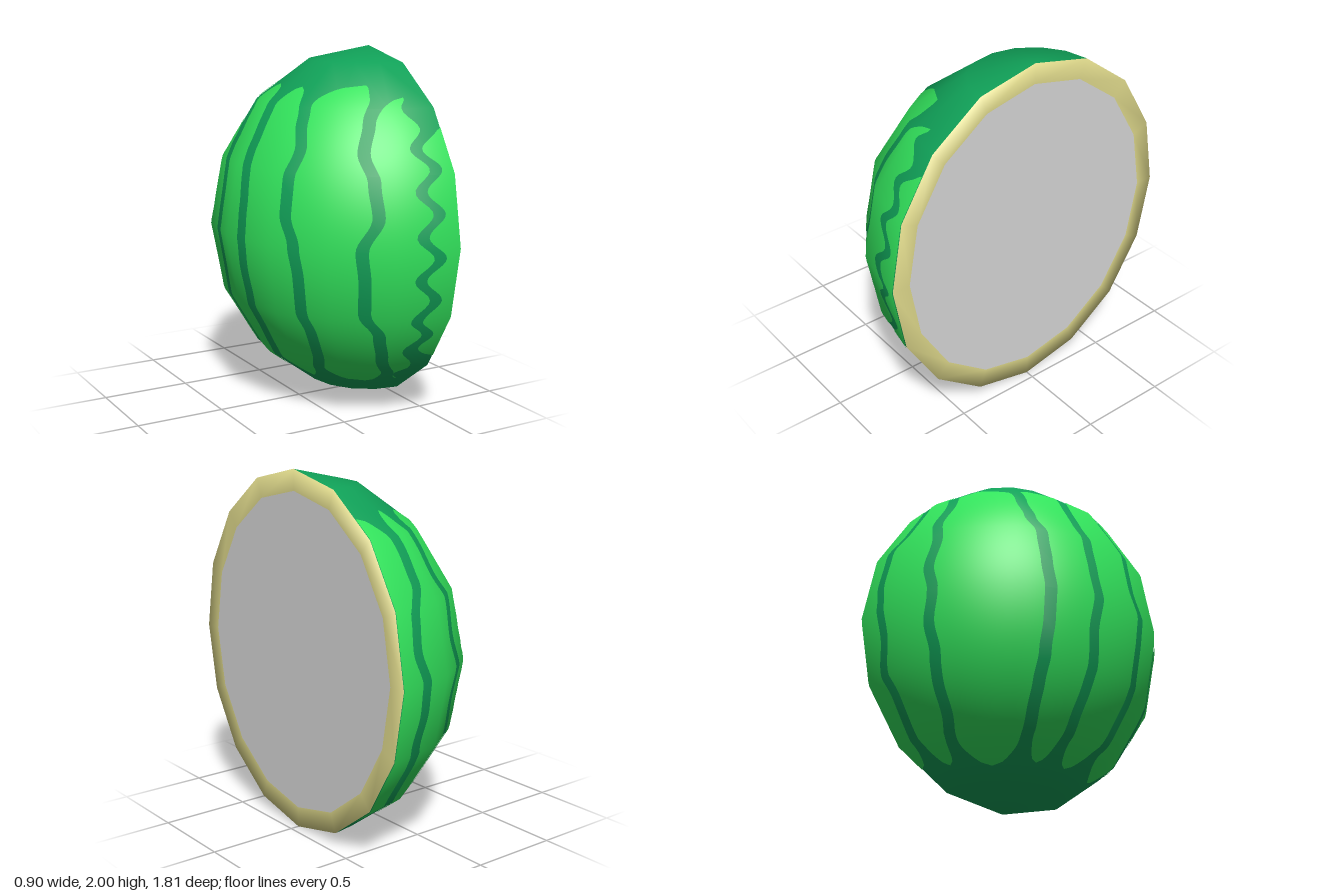
import * as THREE from 'three';

const RX = 0.9, CUT_X = 0.45, SEG = Math.PI / 8;
const rad = THREE.MathUtils.degToRad;

const mat = (name, color) => {
  const m = new THREE.MeshStandardMaterial({ color });
  m.name = name;
  return m;
};

// Direction on the unit sphere: phi runs round the rind from +z to -z, theta down from the top
const dir = (phi, theta) => new THREE.Vector3(
  -Math.sin(phi) * Math.sin(theta), Math.cos(theta), Math.cos(phi) * Math.sin(theta));

// Point on the faceted rind: blend of the four corners of its facet
function rindPoint(phi, theta) {
  const i = Math.min(Math.floor(phi / SEG), 7), j = Math.min(Math.floor(theta / SEG), 7);
  const s = phi / SEG - i, t = theta / SEG - j;
  const row = k => dir(i * SEG, k * SEG).lerp(dir((i + 1) * SEG, k * SEG), s);
  return row(j).lerp(row(j + 1), t).multiply(new THREE.Vector3(RX, 1, RX));
}

// Stripe centre lines: angle round the rind, every 10 degrees from theta 30 to 150
const keyed = keys => theta => {
  const f = THREE.MathUtils.clamp((theta - 30) / 10, 0, keys.length - 1.001);
  const i = Math.floor(f), t = f - i;
  return THREE.MathUtils.lerp(keys[i], keys[i + 1], t * t * (3 - 2 * t));
};
const stripes = [
  () => -10,
  th => 10 + 3.2 * Math.cos((th - 72.5) / 13.6 * Math.PI * 2),
  keyed([26, 28, 32, 34, 30, 28.5, 34, 33, 33, 27, 25, 20, 18]),
  keyed([66, 65, 63, 60, 62, 62, 58, 57, 57, 55, 55, 58, 60]),
  keyed([87, 88, 87, 86, 84, 83, 82, 83, 82, 82, 83, 84, 84]),
  keyed([116, 114, 110, 107, 103, 102, 101, 101, 102, 103, 104, 105, 106]),
  keyed([147, 147, 145, 147, 144, 146, 143, 145, 143, 144, 143, 145, 143]),
  keyed([165, 165, 163, 164, 170, 171, 168, 167, 169, 167, 167, 166, 165]),
  () => 190,
];

// Light patches between neighbouring stripes: top, bottom, position of top and bottom tips
const patches = [
  [52, 130, 0, 0], [40, 146, 0.2, 0.1], [34, 147, 0.1, 0.3], [36, 148, 0.5, 0.5],
  [36, 148, 0.6, 0.5], [36, 150, 0.7, 0.5], [34, 148, 0.5, 0.5], [36, 146, 1, 1],
];

function patchGeometry(left, right, [top, bottom, topTip, bottomTip]) {
  const rows = 80, cols = 24, pos = [], nor = [], idx = [];
  for (let i = 0; i <= rows; i++) {
    const t = i / rows, th = THREE.MathUtils.lerp(top, bottom, t);
    const half = 2.2 / Math.sin(rad(th));
    let a = Math.max(0, left(th) + half), b = Math.min(180, right(th) - half);
    // Rounded ends
    const end = Math.min(1, Math.min(t, 1 - t) / 0.1);
    const width = Math.sqrt(1 - (1 - end) ** 2);
    const tip = THREE.MathUtils.lerp(a, b, t < 0.5 ? topTip : bottomTip);
    a = THREE.MathUtils.lerp(tip, a, width);
    b = THREE.MathUtils.lerp(tip, b, width);
    for (let j = 0; j <= cols; j++) {
      const phi = rad(THREE.MathUtils.lerp(a, b, j / cols));
      const n = dir(phi, rad(th)).divide(new THREE.Vector3(RX, 1, RX)).normalize();
      const p = rindPoint(phi, rad(th)).addScaledVector(n, 0.004);
      pos.push(p.x + CUT_X, p.y + 1, p.z);
      nor.push(n.x, n.y, n.z);
      if (i < rows && j < cols) {
        const k = i * (cols + 1) + j, d = k + cols + 1;
        idx.push(k, k + 1, d, k + 1, d + 1, d);
      }
    }
  }
  const g = new THREE.BufferGeometry();
  g.setAttribute('position', new THREE.Float32BufferAttribute(pos, 3));
  g.setAttribute('normal', new THREE.Float32BufferAttribute(nor, 3));
  g.setIndex(idx);
  return g;
}

export function createModel() {
  const group = new THREE.Group();
  group.name = 'halfWatermelon';
  const darkGreen = mat('darkGreen', 0x10a158);
  const lightGreen = mat('lightGreen', 0x32e35c);
  const paleYellow = mat('paleYellow', 0xe0da8c);
  const paleGrey = mat('paleGrey', 0xd8d8d8);
  const add = (name, geometry, material, parent = group) => {
    const mesh = new THREE.Mesh(geometry, material);
    mesh.name = name;
    parent.add(mesh);
  };

  // Dark rind: half of a low-sided sphere
  const rind = new THREE.SphereGeometry(1, 8, 8, -Math.PI / 2, Math.PI);
  add('rind', rind.scale(RX, 1, RX).translate(CUT_X, 1, 0), darkGreen);

  // Light patches, leaving the wavy stripes and dark ends bare
  const lightPatches = new THREE.Group();
  lightPatches.name = 'lightPatches';
  group.add(lightPatches);
  patches.forEach((p, i) =>
    add('lightPatch' + (i + 1), patchGeometry(stripes[i], stripes[i + 1], p), lightGreen, lightPatches));

  // Rim of the cut face, its outer edge shaded softly into the rind
  const rim = new THREE.RingGeometry(0.885, 1, 16, 1).rotateY(Math.PI / 2);
  const p = rim.attributes.position, n = rim.attributes.normal;
  for (let i = 0; i < p.count; i++) {
    const y = p.getY(i), z = p.getZ(i);
    if (Math.hypot(y, z) > 0.95) n.setXYZ(i, Math.SQRT1_2, y * Math.SQRT1_2, z * Math.SQRT1_2);
  }
  add('rim', rim.scale(1, 1, RX).translate(CUT_X, 1, 0), paleYellow);

  // Flat cut flesh
  const flesh = new THREE.CircleGeometry(0.885, 16).rotateY(Math.PI / 2);
  add('flesh', flesh.scale(1, 1, RX).translate(CUT_X, 1, 0), paleGrey);

  return group;
}
